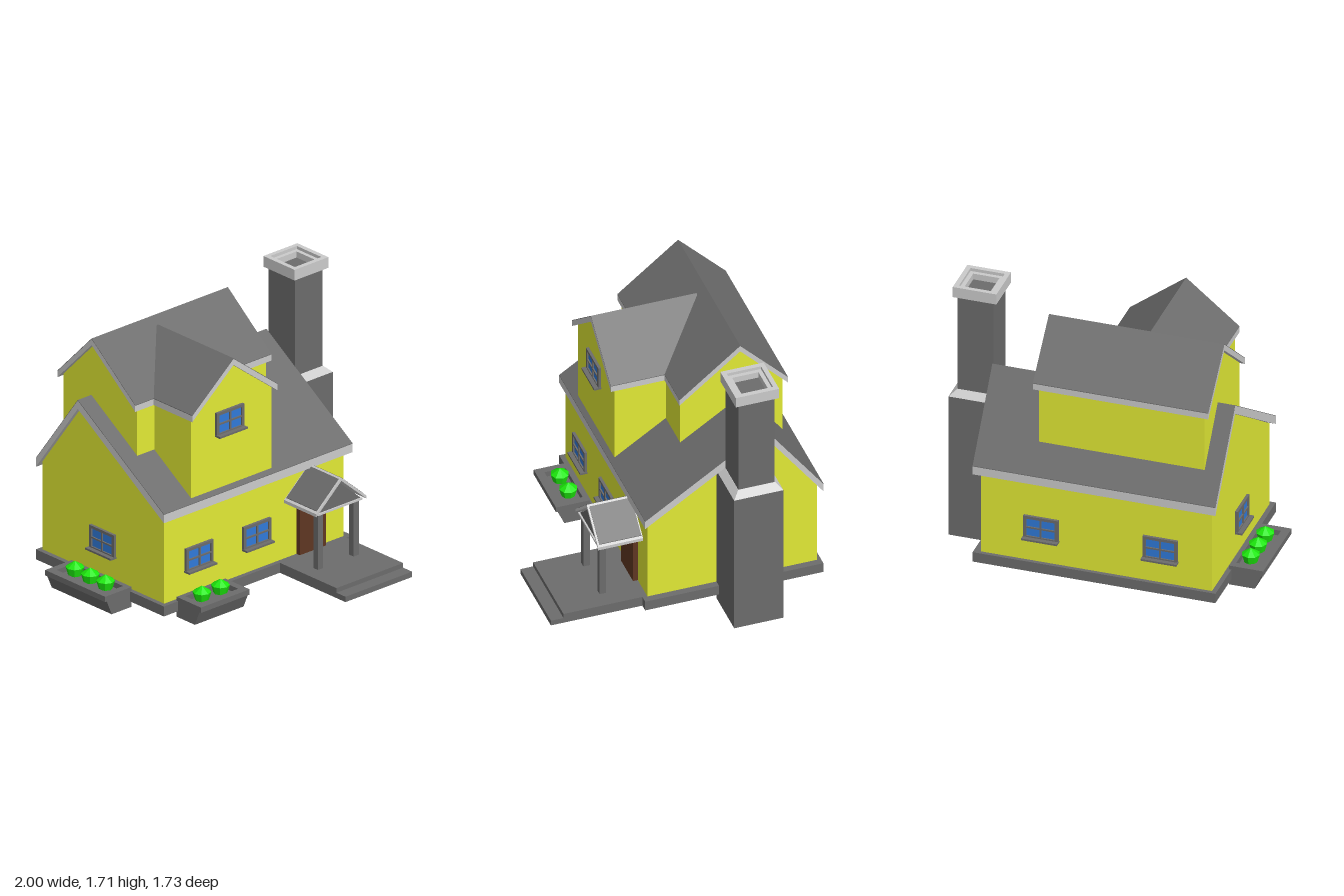
import * as THREE from 'three';

const mat = (color) => new THREE.MeshStandardMaterial({ color, flatShading: true });
const M = {
  light: mat(0xcccccc), dark: mat(0x6c6c6c), wall: mat(0xe2ea35), glass: mat(0x307ada),
  door: mat(0x5f3622), leaf: mat(0x1ce80c),
};

function mesh(parent, name, geometry, material) {
  const m = new THREE.Mesh(geometry, material);
  m.name = name;
  parent.add(m);
  return m;
}

// Box given by its limits on each axis
function box(parent, name, material, [x0, x1], [y0, y1], [z0, z1]) {
  const g = new THREE.BoxGeometry(x1 - x0, y1 - y0, z1 - z0);
  g.translate((x0 + x1) / 2, (y0 + y1) / 2, (z0 + z1) / 2);
  return mesh(parent, name, g, material);
}

// Profile swept from a to b: along z with (x, y) points, or along x with (z, y) points
function prism(parent, name, material, axis, points, a, b) {
  const shape = new THREE.Shape(points.map(([s, y]) => new THREE.Vector2(s, y)));
  const g = new THREE.ExtrudeGeometry(shape, { depth: b - a, bevelEnabled: false });
  if (axis === 'x') g.rotateY(-Math.PI / 2).translate(b, 0, 0);
  else g.translate(0, 0, a);
  return mesh(parent, name, g, material);
}

function rect(path, x0, x1, y0, y1) {
  return path.moveTo(x0, y0).lineTo(x1, y0).lineTo(x1, y1).lineTo(x0, y1).closePath();
}

// Horizontal rectangular ring
function ring(parent, name, material, xs, ys, zs, hx, hz) {
  const shape = rect(new THREE.Shape(), ...xs, -zs[1], -zs[0]);
  shape.holes.push(rect(new THREE.Path(), ...hx, -hz[1], -hz[0]));
  const g = new THREE.ExtrudeGeometry(shape, { depth: ys[1] - ys[0], bevelEnabled: false });
  g.rotateX(-Math.PI / 2).translate(0, ys[0], 0);
  return mesh(parent, name, g, material);
}

// Light slab bent over a ridge, with dark shingles laid on both slopes
function gableRoof(parent, name, axis, eaveA, ridge, eaveB, t, a, b, inset = 0) {
  const roof = new THREE.Group();
  roof.name = name;
  parent.add(roof);
  const down = ([s, y]) => [s, y - t];
  prism(roof, name + 'Slab', M.light, axis,
    [eaveA, ridge, eaveB, down(eaveB), down(ridge), down(eaveA)], a, b);
  for (const eave of [eaveA, eaveB]) {
    const at = (k) => [eave[0] + (ridge[0] - eave[0]) * k, eave[1] + (ridge[1] - eave[1]) * k];
    const lo = at(inset), hi = at(1 - inset);
    const up = ([s, y]) => [s, y + 0.004];
    prism(roof, name + 'Shingles', M.dark, axis, [lo, hi, up(hi), up(lo)],
      a + inset * 0.2, b - inset * 0.2);
  }
}

// Four-pane window with sill, facing +z, centred on its origin
function addWindow(parent, name, x, y, z, turn = 0) {
  const w = new THREE.Group();
  w.name = name;
  const frame = rect(new THREE.Shape(), -0.11, 0.11, -0.077, 0.077);
  for (const sx of [-1, 1]) for (const sy of [-1, 1]) {
    const px = [sx * 0.005, sx * 0.09].sort((p, q) => p - q);
    const py = [sy * 0.005, sy * 0.059].sort((p, q) => p - q);
    frame.holes.push(rect(new THREE.Path(), ...px, ...py));
  }
  mesh(w, 'windowFrame', new THREE.ExtrudeGeometry(frame, { depth: 0.018, bevelEnabled: false }), M.dark);
  box(w, 'windowGlass', M.glass, [-0.1, 0.1], [-0.07, 0.07], [-0.005, 0.009]);
  box(w, 'windowSill', M.dark, [-0.113, 0.113], [-0.079, -0.067], [0, 0.046]);
  w.position.set(x, y, z);
  w.rotation.y = turn;
  parent.add(w);
}

// Planter box with a sloping front, facing +z, its back on the wall
function addPlanter(parent, name, length, bushes, x, z, turn = 0) {
  const p = new THREE.Group();
  p.name = name;
  const h = length / 2;
  prism(p, 'planterBody', M.dark, 'x', [[0.015, 0.02], [0.177, 0.02], [0.217, 0.115], [0.015, 0.115]], -h, h);
  ring(p, 'planterRim', M.dark, [-h, h], [0.115, 0.15], [0.015, 0.23], [0.045 - h, h - 0.045], [0.045, 0.178]);
  const profile = [[0, -0.04], [0.042, -0.03], [0.057, 0.022], [0, 0.06]].map(([r, y]) => new THREE.Vector2(r, y));
  for (const bx of bushes) {
    const bush = mesh(p, 'bush', new THREE.LatheGeometry(profile, 8), M.leaf);
    bush.position.set(bx, 0.157, 0.108);
  }
  p.position.set(x, 0, z);
  p.rotation.y = turn;
  parent.add(p);
}

export function createModel() {
  const house = new THREE.Group();
  house.name = 'house';

  // Foundation and porch steps
  box(house, 'foundation', M.dark, [-0.8, 0.73], [0.06, 0.125], [-0.845, 0.285]);
  box(house, 'porchFloor', M.dark, [0.14, 0.68], [0.06, 0.125], [0.28, 0.785]);
  box(house, 'porchStep', M.dark, [0.14, 0.68], [0.06, 0.095], [0.785, 0.865]);

  // Ground floor
  prism(house, 'mainWalls', M.wall, 'x',
    [[0.255, 0.12], [0.255, 0.686], [-0.475, 1.172], [-0.82, 0.701], [-0.82, 0.12]], -0.77, 0.685);
  gableRoof(house, 'mainRoof', 'x', [0.285, 0.725], [-0.475, 1.222], [-0.845, 0.72], 0.055, -0.8, 0.73);

  // Upper floor
  prism(house, 'upperWalls', M.wall, 'x',
    [[-0.07, 0.85], [-0.07, 1.275], [-0.44, 1.575], [-0.72, 1.287], [-0.72, 0.8]], -0.69, 0.355);
  gableRoof(house, 'upperRoof', 'x', [-0.055, 1.302], [-0.44, 1.612], [-0.742, 1.302], 0.04, -0.72, 0.385);

  // Front gable
  prism(house, 'gableWalls', M.wall, 'z',
    [[-0.552, 0.725], [0.1, 0.725], [0.1, 1.283], [-0.235, 1.54], [-0.552, 1.283]], -0.3, 0.255);
  gableRoof(house, 'gableRoof', 'z', [-0.57, 1.302], [-0.235, 1.575], [0.12, 1.302], 0.04, -0.385, 0.285);

  // Windows
  addWindow(house, 'frontWindowRight', -0.495, 0.358, 0.255);
  addWindow(house, 'frontWindowLeft', -0.028, 0.358, 0.255);
  addWindow(house, 'gableWindow', -0.247, 1.172, 0.255);
  addWindow(house, 'backWindowRight', -0.447, 0.358, -0.82, Math.PI);
  addWindow(house, 'backWindowLeft', 0.305, 0.358, -0.82, Math.PI);
  addWindow(house, 'sideWindow', -0.77, 0.358, -0.28, -Math.PI / 2);

  // Door and porch
  box(house, 'door', M.door, [0.302, 0.514], [0.125, 0.47], [0.25, 0.285]);
  for (const x of [0.258, 0.547]) {
    box(house, 'porchPost', M.dark, [x - 0.021, x + 0.021], [0.12, 0.505], [0.475, 0.516]);
  }
  prism(house, 'porchGable', M.dark, 'z', [[0.23, 0.495], [0.58, 0.495], [0.405, 0.65]], 0.25, 0.52);
  box(house, 'porchBeam', M.light, [0.225, 0.585], [0.485, 0.497], [0.25, 0.53]);
  gableRoof(house, 'porchRoof', 'z', [0.202, 0.508], [0.405, 0.685], [0.608, 0.508], 0.02, 0.25, 0.54, 0.06);

  // Planters
  addPlanter(house, 'frontPlanter', 0.395, [-0.077, 0.073], -0.488, 0.257);
  addPlanter(house, 'sidePlanter', 0.53, [-0.135, 0, 0.135], -0.77, -0.28, -Math.PI / 2);

  // Chimney
  const chimney = new THREE.Group();
  chimney.name = 'chimney';
  house.add(chimney);
  box(chimney, 'chimneyBase', M.dark, [0.685, 1], [0, 0.958], [-0.495, -0.183]);
  const ledge = box(chimney, 'chimneyLedge', M.light, [0.685, 1], [0.958, 0.998], [-0.495, -0.183]);
  const pos = ledge.geometry.attributes.position;
  for (let i = 0; i < pos.count; i++) {
    if (pos.getY(i) < 0.98) continue;
    pos.setX(i, pos.getX(i) > 0.84 ? 0.957 : 0.728);
    pos.setZ(i, pos.getZ(i) > -0.34 ? -0.223 : -0.457);
  }
  ledge.geometry.computeVertexNormals();
  box(chimney, 'chimneyShaft', M.dark, [0.73, 0.955], [0.99, 1.65], [-0.455, -0.225]);
  ring(chimney, 'chimneyCap', M.light, [0.705, 0.98], [1.64, 1.71], [-0.475, -0.2], [0.735, 0.95], [-0.447, -0.23]);
  ring(chimney, 'chimneyInnerRim', M.light, [0.73, 0.955], [1.645, 1.69], [-0.45, -0.225], [0.76, 0.925], [-0.422, -0.255]);

  return house;
}
